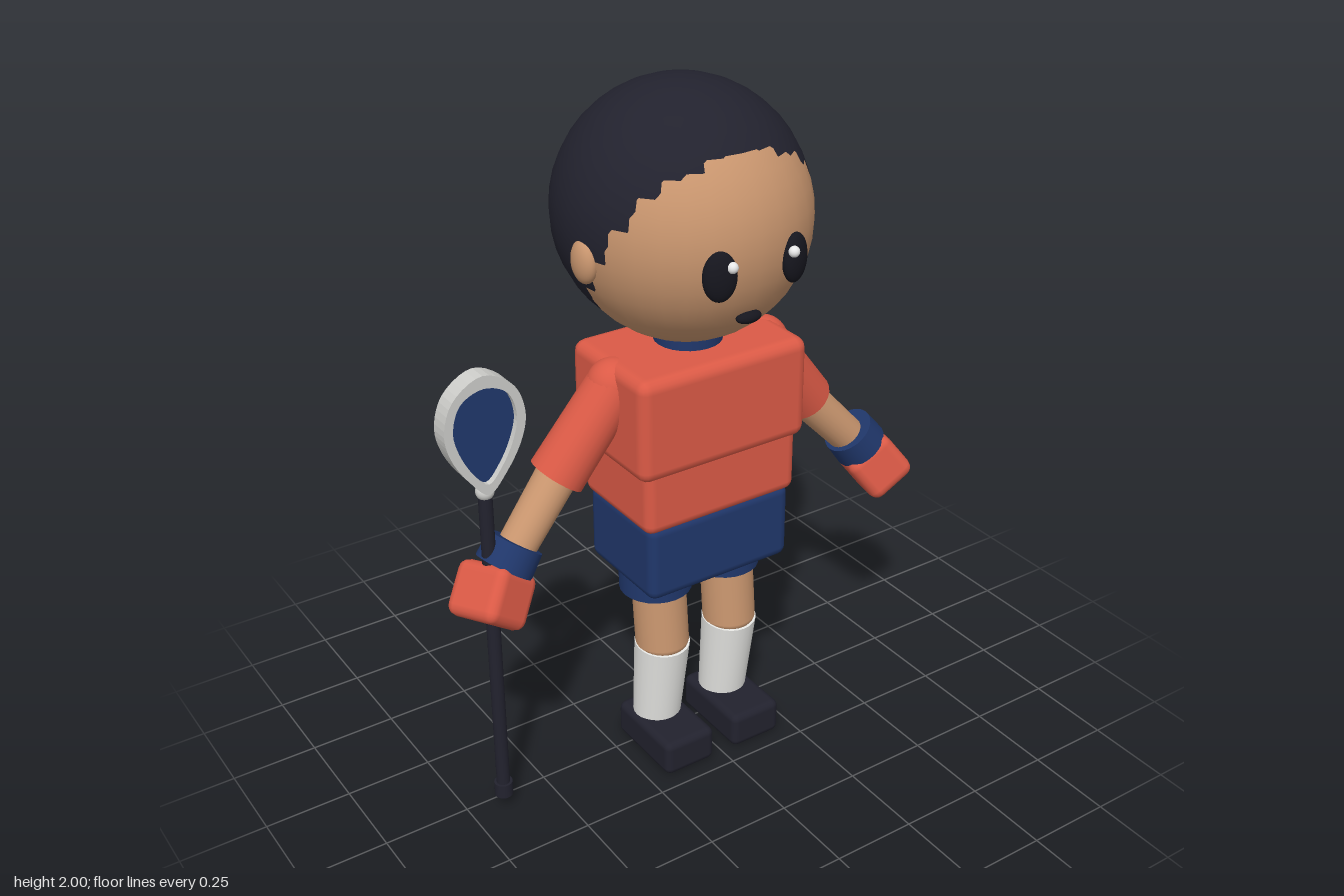
import * as THREE from 'three';
import { RoundedBoxGeometry } from 'three/addons/geometries/RoundedBoxGeometry.js';

const mat = (name, color) => {
  const m = new THREE.MeshStandardMaterial({ color });
  m.name = name;
  return m;
};
const V = (x, y, z) => new THREE.Vector3(x, y, z);

export function createModel() {
  const model = new THREE.Group();
  model.name = 'stickPlayer';
  const skin = mat('skin', 0xc8956e);
  const red = mat('shirtRed', 0xdb5a46);
  const navy = mat('navy', 0x20376b);
  const dark = mat('hairAndShoes', 0x22222e);
  const black = mat('eyeBlack', 0x16161e);
  const sockWhite = mat('sockWhite', 0xe9e9e6);
  const grey = mat('rimGrey', 0xcdcdca);
  const shine = mat('eyeShine', 0xffffff);

  const add = (name, geo, material, x = 0, y = 0, z = 0) => {
    const m = new THREE.Mesh(geo, material);
    m.name = name;
    m.position.set(x, y, z);
    model.add(m);
    return m;
  };
  const box = (name, material, size, pos, r = 0.03) =>
    add(name, new RoundedBoxGeometry(...size, 2, r), material, ...pos);
  const ball = (name, material, size, pos) => {
    const m = add(name, new THREE.SphereGeometry(1, 32, 22), material, ...pos);
    m.scale.set(...size);
    return m;
  };
  // Tapered cylinder running from point a to point b
  const limb = (name, material, a, b, ra, rb = ra) => {
    const d = b.clone().sub(a);
    const c = a.clone().add(b).multiplyScalar(0.5);
    const m = add(name, new THREE.CylinderGeometry(rb, ra, d.length(), 24), material, c.x, c.y, c.z);
    m.quaternion.setFromUnitVectors(V(0, 1, 0), d.normalize());
    return m;
  };

  // Head: the hair is a larger ball shifted up and back, leaving the face bare
  ball('head', skin, [0.336, 0.336, 0.336], [0, 1.64, 0]);
  ball('hair', dark, [0.345, 0.345, 0.345], [0, 1.655, -0.025]);
  ball('mouth', black, [0.038, 0.017, 0.02], [0, 1.45, 0.284]);
  limb('collar', navy, V(0, 1.24, 0.01), V(0, 1.33, 0.01), 0.095);

  // Trunk
  box('chest', red, [0.54, 0.3, 0.36], [0, 1.14, 0.02], 0.035);
  box('waist', red, [0.495, 0.21, 0.335], [0, 0.925, 0.02], 0.03);
  box('shorts', navy, [0.468, 0.235, 0.325], [0, 0.72, 0.018], 0.03);

  for (const s of [-1, 1]) {
    const side = s > 0 ? 'left' : 'right';

    // Face
    ball(side + 'Ear', skin, [0.03, 0.06, 0.047], [s * 0.328, 1.59, 0.03]);
    ball(side + 'Eye', black, [0.045, 0.067, 0.025], [s * 0.115, 1.597, 0.318]).rotation.y = s * 0.35;
    ball(side + 'EyeShine', shine, [0.015, 0.015, 0.015], [s * 0.094, 1.625, 0.342]);

    // Leg
    const x = s * 0.118;
    const knee = V(x, 0.37, 0.053), ankle = V(x, 0.08, 0.018);
    limb(side + 'ShortsLeg', navy, V(x, 0.545, 0.02), V(x, 0.65, 0.02), 0.105);
    limb(side + 'Thigh', skin, V(x, 0.62, 0.03), knee, 0.078);
    ball(side + 'Knee', skin, [0.077, 0.04, 0.077], [x, 0.375, 0.053]);
    limb(side + 'Sock', sockWhite, knee, ankle, 0.081, 0.07);
    box(side + 'Shoe', dark, [0.167, 0.11, 0.272], [x, 0.055, 0.07], 0.022);

    // Arm
    const shoulder = V(s * 0.243, 1.216, 0.018), elbow = V(s * 0.417, 0.985, 0);
    const wrist = V(s * 0.615, 0.77, 0.038);
    ball(side + 'Shoulder', red, [0.076, 0.076, 0.072], shoulder.toArray());
    limb(side + 'Sleeve', red, shoulder, elbow, 0.074, 0.079);
    ball(side + 'Elbow', skin, [0.058, 0.058, 0.058], elbow.toArray());
    limb(side + 'Forearm', skin, elbow, wrist, 0.058, 0.052);
    limb(side + 'Cuff', navy, V(s * 0.563, 0.843, 0.028), V(s * 0.607, 0.785, 0.036), 0.078, 0.082);
    box(side + 'Hand', red, [0.155, 0.155, 0.175], [s * 0.652, 0.72, 0.048], 0.03)
      .rotation.set(-0.18, -s * 0.35, s * 0.6);
  }

  // Stick held in the right hand
  const sx = -0.65, sz = 0.04;
  limb('stickShaft', dark, V(sx, 0.06, sz), V(sx, 1.03, sz), 0.019);
  limb('stickButt', dark, V(sx, 0.042, sz), V(sx, 0.085, sz), 0.026);
  ball('stickFerrule', grey, [0.025, 0.025, 0.025], [sx, 1.033, sz]);

  // Teardrop outline mirrored from half of its points
  const teardrop = (half) => {
    const mirrored = half.slice(1, -1).reverse().map(([a, b]) => [-a, b]);
    const pts = [...half, ...mirrored].map(([a, b]) => V(a, b, 0));
    return new THREE.CatmullRomCurve3(pts, true).getPoints(48).slice(0, -1)
      .map((p) => new THREE.Vector2(p.x, p.y));
  };
  const inner = teardrop([[0, 1.065], [0.04, 1.105], [0.077, 1.175], [0.09, 1.24], [0.065, 1.31], [0, 1.337]]);
  const rim = new THREE.Shape(
    teardrop([[0, 1.035], [0.052, 1.085], [0.1, 1.165], [0.115, 1.24], [0.085, 1.325], [0, 1.373]]));
  rim.holes.push(new THREE.Path(inner));
  const extrude = (shape, depth) =>
    new THREE.ExtrudeGeometry(shape, { depth, bevelEnabled: false }).translate(0, 0, -depth / 2);
  add('stickRim', extrude(rim, 0.055), grey, sx, 0, sz);
  add('stickNet', extrude(new THREE.Shape(inner), 0.02), navy, sx, 0, sz);

  return model;
}
